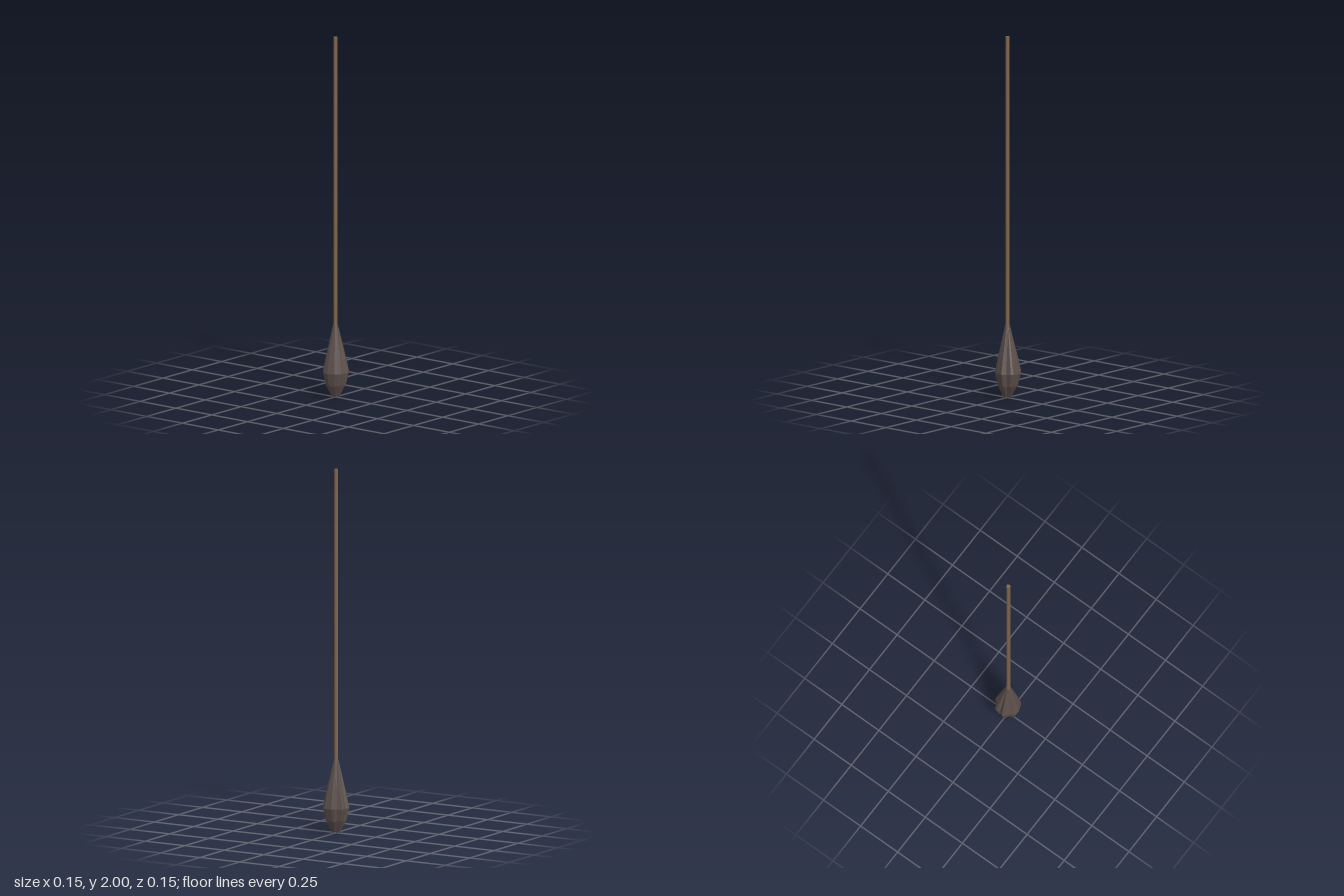
import * as THREE from 'three';

// Uneven fluted outline of the head at its widest, as x, z pairs seen from above
const OUTLINE = [
  [0.073, -0.02], [0.064, -0.03], [0.05, -0.037], [0.045, -0.062], [0.032, -0.071],
  [-0.013, -0.075], [-0.027, -0.07], [-0.036, -0.05], [-0.064, -0.043], [-0.07, -0.028],
  [-0.062, -0.009], [-0.075, 0.0125], [-0.066, 0.027], [-0.046, 0.039], [-0.029, 0.068],
  [0, 0.071], [0.039, 0.057], [0.052, 0.046], [0.0625, 0.023], [0.064, 0.0125],
];

// Rings from the bottom up: height, scale of the outline, bottom jaggedness
const RINGS = [
  [0.007, 0.32, 0.007],
  [0.07, 0.78, 0],
  [0.14, 1, 0],
  [0.215, 0.78, 0],
  [0.4, 0.19, 0],
];

function headGeometry() {
  const n = OUTLINE.length;
  const pos = [];
  const index = [];
  RINGS.forEach(([y, s, jag], r) => {
    OUTLINE.forEach(([x, z], i) => {
      // The neck rounds off to a circle around the handle
      const k = r === RINGS.length - 1 ? 0.0135 / Math.hypot(x, z) : s;
      pos.push(x * k, y + jag * Math.cos(i * 2.2), z * k);
    });
  });
  for (let r = 0; r < RINGS.length - 1; r++) {
    for (let i = 0; i < n; i++) {
      const a = r * n + i;
      const b = r * n + (i + 1) % n;
      index.push(a, b, b + n, a, b + n, a + n);
    }
  }
  // Closing caps: slightly hollow below, flat around the handle above
  const bottom = pos.length / 3;
  pos.push(0, 0.02, 0, 0, 0.4, 0);
  const last = (RINGS.length - 1) * n;
  for (let i = 0; i < n; i++) {
    const j = (i + 1) % n;
    index.push(bottom, j, i, bottom + 1, last + i, last + j);
  }
  const g = new THREE.BufferGeometry();
  g.setAttribute('position', new THREE.Float32BufferAttribute(pos, 3));
  g.setIndex(index);
  const flat = g.toNonIndexed();
  flat.computeVertexNormals();
  return flat;
}

export function createModel() {
  const model = new THREE.Group();
  model.name = 'mop';

  // Long straight handle, reaching down into the head
  const handle = new THREE.Mesh(
    new THREE.CylinderGeometry(0.011, 0.011, 1.7, 12),
    new THREE.MeshStandardMaterial({ color: 0x80624a, flatShading: true })
  );
  handle.name = 'handle';
  handle.position.y = 1.15;

  // Drooping cloth head
  const head = new THREE.Mesh(
    headGeometry(),
    new THREE.MeshStandardMaterial({ color: 0x5c4f4b, flatShading: true })
  );
  head.name = 'mopHead';

  model.add(handle, head);
  return model;
}
